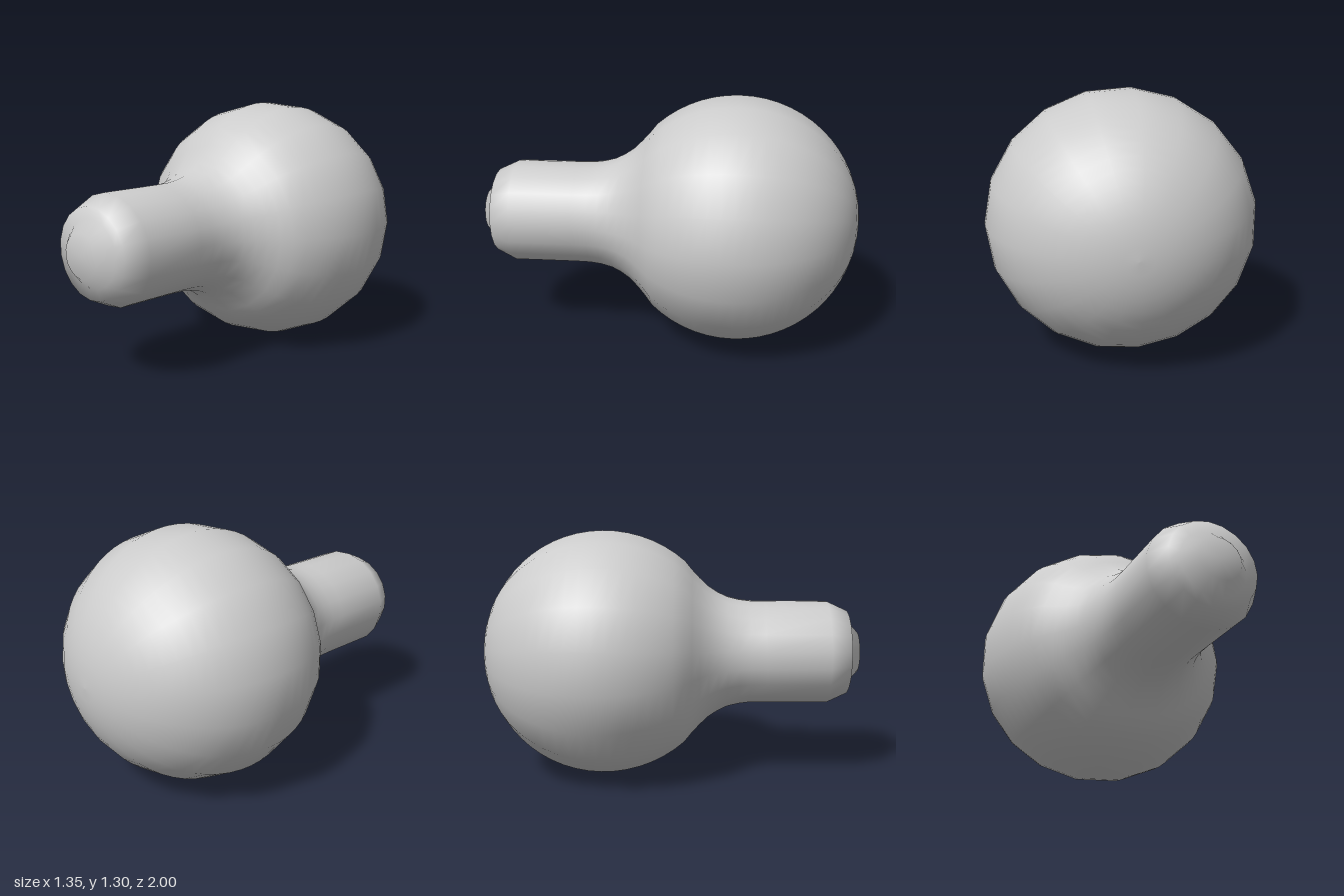
import * as THREE from 'three';

export function createModel() {
  const group = new THREE.Group();
  group.name = 'lightBulb';
  const material = new THREE.MeshStandardMaterial({ color: 0xcccccc });

  // Profile along the axis: radius, distance from back to front
  const profile = [];

  // Round glass: an arc from the back pole towards the neck
  const radius = 0.678, depth = 0.65, centre = -0.35;
  const steps = 22, end = THREE.MathUtils.degToRad(131);
  for (let i = 0; i <= steps; i++) {
    const a = (end * i) / steps;
    profile.push(new THREE.Vector2(radius * Math.sin(a), centre - depth * Math.cos(a)));
  }

  // Flared throat, straight neck, bevelled end and stepped contact tip
  for (const [r, z] of [
    [0.462, 0.115], [0.417, 0.155], [0.372, 0.2], [0.338, 0.25], [0.313, 0.3], [0.297, 0.36],
    [0.289, 0.42], [0.287, 0.5], [0.287, 0.83], [0.234, 0.94], [0.175, 0.94], [0.113, 1], [0, 1],
  ]) profile.push(new THREE.Vector2(r, z));

  // Nineteen sides with one corner on +x, axis turned to face the front
  const geometry = new THREE.LatheGeometry(profile, 19, Math.PI / 2);
  geometry.rotateX(Math.PI / 2);
  geometry.scale(1, 0.962, 1);

  const bulb = new THREE.Mesh(geometry, material);
  bulb.name = 'bulb';
  bulb.position.set(-0.005, 0.65, 0);
  group.add(bulb);
  return group;
}
